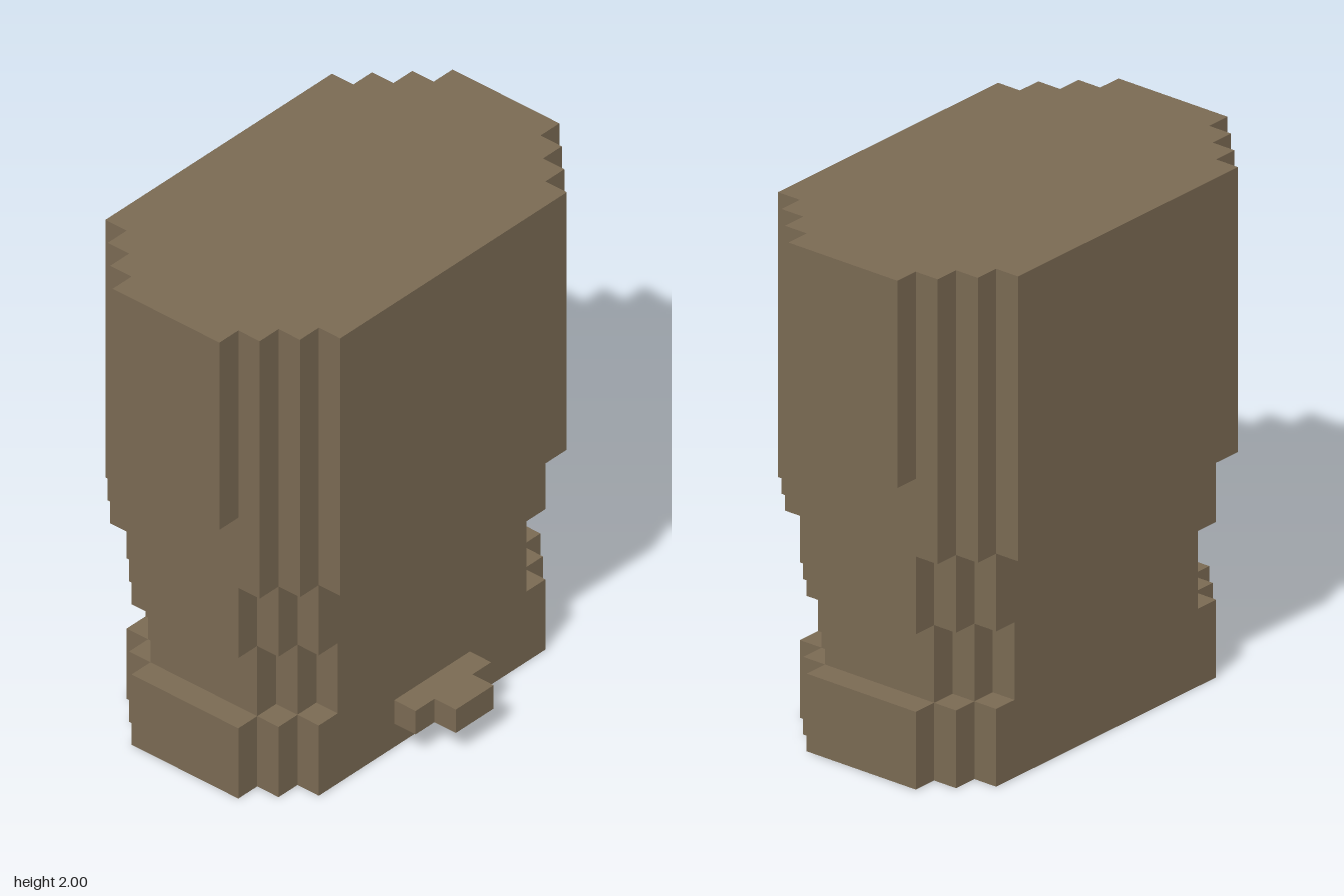
import * as THREE from 'three';

// Stepped outline from [zStart, halfWidth] rows, ordered back to front and ending at zEnd
function steppedOutline(rows, zEnd) {
  const right = [];
  rows.forEach(([z, w], i) => {
    const next = i + 1 < rows.length ? rows[i + 1][0] : zEnd;
    right.push([w, z], [w, next]);
  });
  const left = right.map(([x, z]) => [-x, z]).reverse();
  // Shape y is -z, so the extrusion can be laid flat
  return new THREE.Shape([...right, ...left].map(([x, z]) => new THREE.Vector2(x, -z)));
}

// Outline with three corner steps, widening to a flat side between z -0.3 and 0.2
function blockRows(zBack, widths) {
  const n = widths.length;
  const back = widths.map((w, i) => [zBack + i * 0.1, w]);
  const front = widths.slice(0, -1).reverse().map((w, i) => [0.2 + i * 0.1, w]);
  return { rows: [...back, ...front], zEnd: 0.2 + (n - 1) * 0.1 };
}

export function createModel() {
  const group = new THREE.Group();
  const brown = new THREE.MeshStandardMaterial({ color: 0x7a6a53 });
  brown.name = 'earthBrown';

  const addLayer = (name, y0, y1, zBack, widths) => {
    const { rows, zEnd } = blockRows(zBack, widths);
    const geometry = new THREE.ExtrudeGeometry(steppedOutline(rows, zEnd), {
      depth: y1 - y0,
      bevelEnabled: false,
    });
    geometry.rotateX(-Math.PI / 2);
    const mesh = new THREE.Mesh(geometry, brown);
    mesh.name = name;
    mesh.position.y = y0;
    group.add(mesh);
  };

  // Body layers, bottom to top
  addLayer('base', 0, 0.3, -0.5, [0.6, 0.7, 0.8]);
  addLayer('waist', 0.3, 0.6, -0.5, [0.5, 0.6, 0.7]);
  addLayer('middle', 0.6, 0.9, -0.5, [0.6, 0.7, 0.8]);
  addLayer('upperBody', 0.9, 1.2, -0.6, [0.6, 0.7, 0.8, 0.8]);
  addLayer('top', 1.2, 2, -0.6, [0.6, 0.7, 0.8, 0.9]);

  // Stepped tab on the front of the base
  [['tabBase', 0.4, 0.45], ['tabTip', 0.2, 0.55]].forEach(([name, width, z]) => {
    const mesh = new THREE.Mesh(new THREE.BoxGeometry(width, 0.1, 0.1), brown);
    mesh.name = name;
    mesh.position.set(0, 0.15, z);
    group.add(mesh);
  });

  return group;
}
